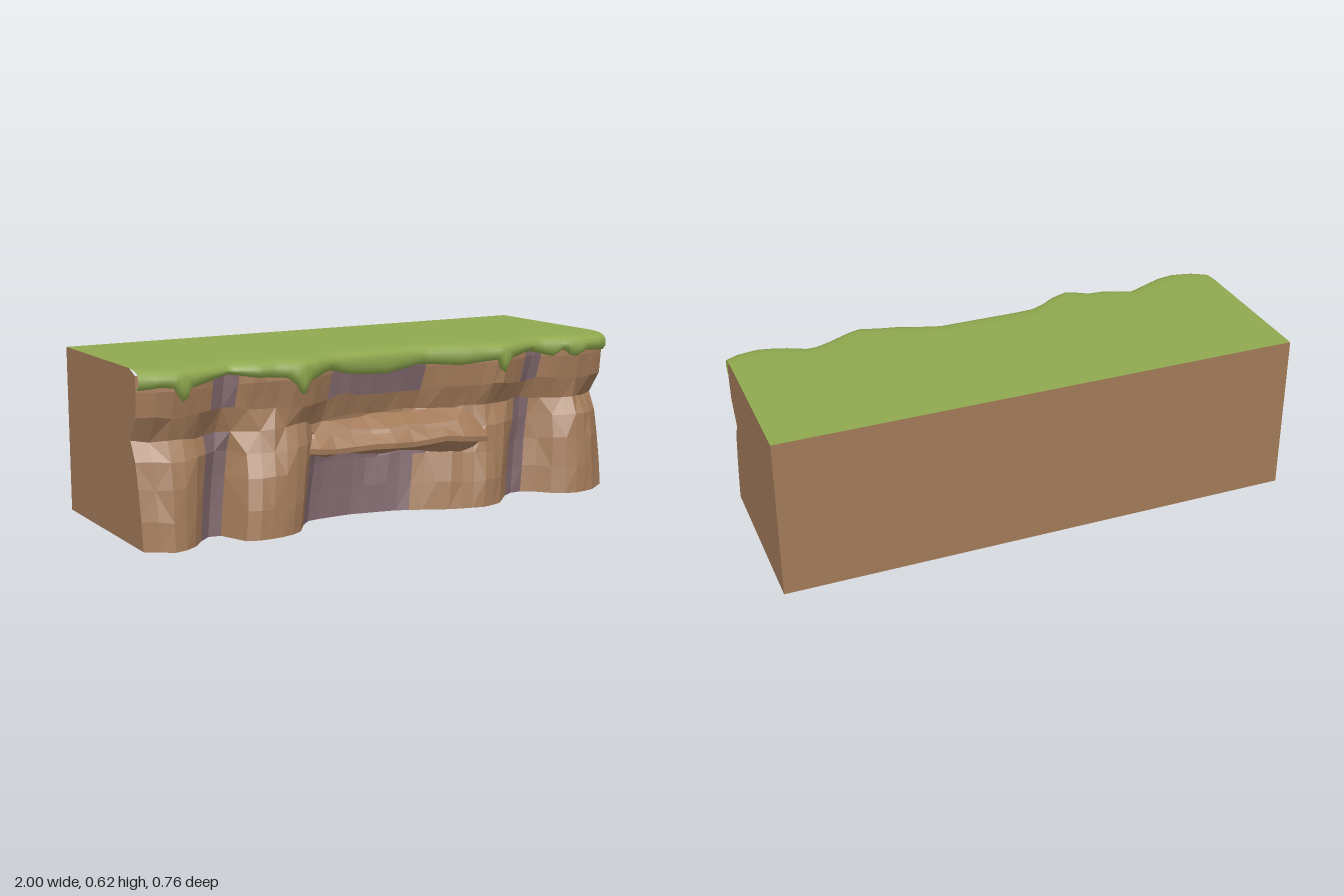
import * as THREE from 'three';

const BACK = -0.38, TOP = 0.62;

const mat = (name, color, side = THREE.FrontSide) => {
  const m = new THREE.MeshStandardMaterial({ color, side });
  m.name = name;
  return m;
};

// piecewise linear outline from x, value pairs
const outline = (...p) => (x) => {
  let i = 0;
  while (i < p.length - 4 && x > p[i + 2]) i += 2;
  const t = THREE.MathUtils.clamp((x - p[i]) / (p[i + 2] - p[i]), 0, 1);
  return p[i + 1] + (p[i + 3] - p[i + 1]) * t;
};

// depth of the cliff foot, the recessed seam and the grassy rim
const foot = outline(-1, .31, -.9, .38, -.83, .35, -.77, .28, -.73, .243, -.68, .25, -.64, .36, -.6, .378, -.52, .382,
  -.45, .365, -.4, .335, -.34, .235, -.3, .22, -.145, .215, .04, .25, .15, .3, .24, .345, .376, .38, .47, .35, .5, .31,
  .555, .257, .62, .23, .68, .27, .75, .35, .81, .37, .9, .362, 1, .295);
const seam = outline(-1, .22, -.88, .285, -.8, .28, -.7, .21, -.6, .25, -.5, .3, -.4, .28, -.25, .22, -.1, .2,
  .15, .2, .3, .25, .42, .28, .55, .25, .65, .2, .75, .24, .85, .285, 1, .21);
const rim = outline(-1, .3, -.95, .33, -.87, .347, -.8, .335, -.72, .3, -.65, .27, -.6, .29, -.55, .31, -.48, .315,
  -.44, .34, -.4, .36, -.33, .335, -.28, .3, -.22, .27, -.15, .265, .17, .265, .25, .29, .33, .32, .4, .335,
  .47, .357, .52, .34, .6, .3, .66, .275, .7, .275, .76, .305, .8, .32, .87, .337, .95, .325, 1, .3);
// height of the hanging grass edge, with narrow drips
const hem = outline(-1, .55, -.93, .56, -.88, .555, -.86, .51, -.84, .5, -.82, .55, -.75, .56, -.65, .575, -.55, .56,
  -.45, .555, -.42, .535, -.4, .495, -.38, .5, -.36, .54, -.25, .56, -.15, .535, 0, .525, .15, .55, .3, .54, .45, .555,
  .47, .505, .49, .5, .51, .555, .65, .565, .75, .54, .79, .57, .82, .54, .85, .54, .88, .56, 1, .55);

// repeatable roughness in -1..1
const rough = (a, b) => {
  const s = Math.sin(a * 127.1 + b * 311.7) * 43758.5453;
  return (s - Math.floor(s)) * 2 - 1;
};

// surface through a grid of points: rows run up and columns right, seen from outside
function surface(rows, keep = () => true) {
  const pos = rows.flat(2), index = [], n = rows[0].length;
  for (let j = 0; j < rows.length - 1; j++) {
    for (let i = 0; i < n - 1; i++) {
      if (!keep(i, j)) continue;
      const a = j * n + i, b = a + 1, d = a + n, c = d + 1;
      if ((i + j) % 2) index.push(a, b, c, a, c, d);
      else index.push(a, b, d, b, c, d);
    }
  }
  const g = new THREE.BufferGeometry();
  g.setAttribute('position', new THREE.Float32BufferAttribute(pos, 3));
  g.setIndex(index);
  return g;
}

const flat = (g) => {
  const f = g.toNonIndexed();
  f.computeVertexNormals();
  return f;
};

export function createModel() {
  const group = new THREE.Group();
  const brown = mat('brown rock', 0xa27a59);
  const mauve = mat('mauve rock', 0x7d656b);
  const green = mat('grass green', 0x8fa84e, THREE.DoubleSide);
  const add = (name, geometry, material) => {
    const m = new THREE.Mesh(geometry, material);
    m.name = name;
    group.add(m);
  };

  // cliff face: strata from the foot up to under the grass, [y, depth, lower part, roughness]
  const N = 44;
  const xs = Array.from({ length: N + 1 }, (_, i) => -1 + 2 * i / N);
  const strata = [
    [0, foot, 0, 0],
    [0.1, (x) => foot(x) - 0.012, 0, 0.004],
    [0.21, (x) => foot(x) * 0.85 + seam(x) * 0.15 - 0.018, 0, 0.006],
    [0.3, (x) => foot(x) * 0.55 + seam(x) * 0.45 - 0.012, 0, 0.007],
    [0.37, seam, 1, 0.01],
    [0.455, (x) => rim(x) - 0.032, 1, 0.01],
    [0.54, (x) => rim(x) - 0.024, 1, 0.004],
    [0.6, (x) => rim(x) - 0.026, 1, 0],
  ];
  const face = strata.map(([y, depth, upper, r], j) => xs.map((x, i) => {
    const edge = Math.abs(x) > 0.999 ? 0 : 1;
    const sx = x + 0.17 * y * (1 - x ** 4);
    const bump = r * rough(Math.floor(i / 2), j) * edge;
    return [sx, y + bump * 1.2, depth(upper ? sx : x) + bump];
  }));
  const isMauve = (i, j) => {
    const x = (xs[i] + xs[i + 1]) / 2;
    if ((x > -.78 && x < -.67) || (x > .54 && x < .63)) return j !== 4;
    if (j < 3) return x > -.35 && x < .07 + 0.03 * j;
    return j > 4 && x > -.3 && x < .1;
  };
  add('brownCliffFace', flat(surface(face, (i, j) => !isMauve(i, j))), brown);
  add('mauveCliffFace', flat(surface(face, isMauve)), mauve);

  // flat block sides
  const end = (i, x) => [...face.map((row) => row[i]), [x, TOP, rim(x) - 0.075]];
  const back = ([x, y]) => [x, y, BACK];
  add('leftEnd', flat(surface(end(N, 1).map((p) => [p, back(p)]))), brown);
  add('rightEnd', flat(surface(end(0, -1).map((p) => [back(p), p]))), brown);
  add('underside', flat(surface([face[0].map(back), face[0]])), brown);
  add('backWall', flat(surface([0, TOP].map((y) => [[1, y, BACK], [-1, y, BACK]]))), brown);

  // jutting ledge across the middle hollow
  const lip = outline(-.37, .27, -.3, .29, -.2, .285, -.1, .3, 0, .325, .1, .325, .2, .338, .32, .352, .41, .33);
  const lipY = outline(-.37, .265, -.22, .25, -.05, .258, .1, .252, .22, .265, .41, .242);
  const underY = outline(-.37, .26, -.25, .21, -.15, .222, 0, .21, .1, .226, .28, .204, .41, .238);
  const ledgeXs = [-.37, -.3, -.23, -.15, -.07, 0, .08, .15, .22, .29, .35, .41];
  const ledge = [
    (x) => [x, underY(x), Math.min(lip(x) - 0.03, foot(x) - 0.05)],
    (x) => [x, lipY(x), lip(x)],
    (x) => [x, lipY(x) + 0.02, lip(x) + 0.002],
    (x, i) => [x, 0.315 + 0.008 * rough(i, 3), lip(x) - 0.035],
    (x, i) => [x, 0.33 + 0.008 * rough(i, 3), lip(x) - 0.045],
    (x) => [x, 0.38, seam(x) - 0.015],
  ].map((f) => ledgeXs.map(f));
  add('rockLedge', flat(surface(ledge)), brown);

  // grass cap with a rounded rim and drips
  const G = 120;
  const gx = Array.from({ length: G + 1 }, (_, i) => -1 + 2 * i / G);
  const grass = [
    (x) => [x, hem(x) + 0.012, rim(x) - 0.045],
    (x) => [x, hem(x), rim(x) - 0.014],
    (x) => [x, hem(x) * 0.6 + 0.595 * 0.4, rim(x) + 0.003],
    (x) => [x, 0.592, rim(x) + 0.003],
    (x) => [x, 0.607, rim(x) - 0.008],
    (x) => [x, 0.616, rim(x) - 0.035],
    (x) => [x, TOP, rim(x) - 0.08],
    (x) => [x, TOP, 0.14],
    (x) => [x, TOP, BACK],
  ].map((f) => gx.map(f));
  const cap = surface(grass);
  cap.computeVertexNormals();
  add('grassCap', cap, green);

  return group;
}
